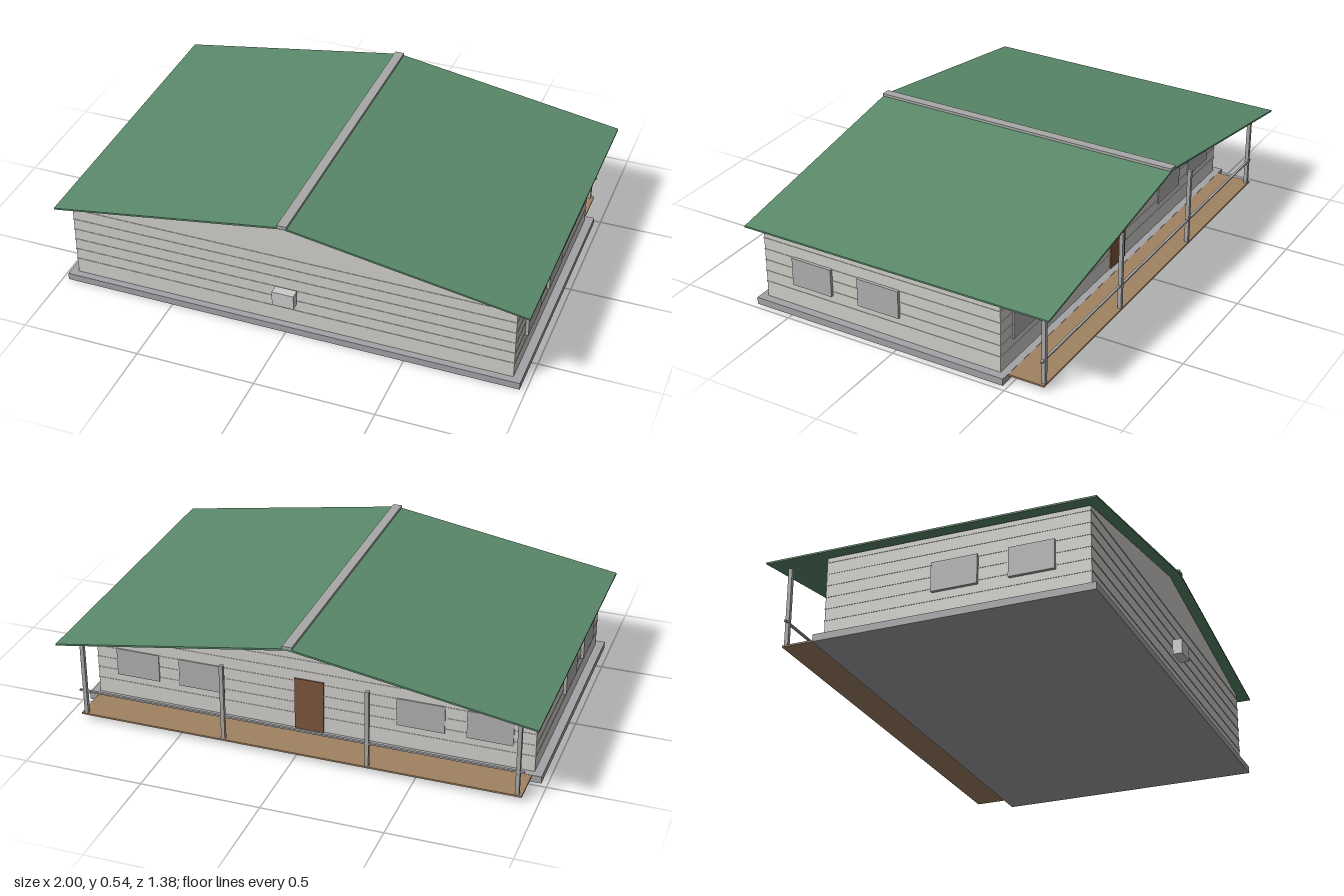
import * as THREE from 'three';

const mat = (color) => new THREE.MeshStandardMaterial({ color, flatShading: true });
const MATS = {
  wall: mat(0xd0cfca), slab: mat(0xa4a4a8), roof: mat(0x5a8a6a), trim: mat(0xa8a8a8),
  glass: mat(0xb0b0b0), door: mat(0x7d553c), deck: mat(0xa08262), unit: mat(0xcccccc),
};

export function createModel() {
  const house = new THREE.Group();
  house.name = 'house';

  const add = (name, geometry, material) => {
    const mesh = new THREE.Mesh(geometry, material);
    mesh.name = name;
    house.add(mesh);
    return mesh;
  };
  // Box given by its limits on each axis
  const box = (name, material, [x0, x1], [y0, y1], [z0, z1]) => {
    const m = add(name, new THREE.BoxGeometry(x1 - x0, y1 - y0, z1 - z0), material);
    m.position.set((x0 + x1) / 2, (y0 + y1) / 2, (z0 + z1) / 2);
    return m;
  };
  // Outline in x and y, extruded from z0 to z1
  const prism = (name, material, points, z0, z1) => {
    const shape = new THREE.Shape(points.map(([x, y]) => new THREE.Vector2(x, y)));
    const geo = new THREE.ExtrudeGeometry(shape, { depth: z1 - z0, bevelEnabled: false });
    geo.translate(0, 0, z0);
    return add(name, geo, material);
  };

  const W = 0.94, BACK = -0.45, FRONT = 0.64;

  // Foundation and gabled body
  box('foundation', MATS.slab, [-0.975, 0.975], [0, 0.03], [-0.48, 0.67]);
  prism('walls', MATS.wall,
    [[-W, 0.03], [W, 0.03], [W, 0.367], [0, 0.523], [-W, 0.367]], BACK, FRONT);

  // Horizontal siding laps around the body
  for (let i = 0; i < 6; i++) {
    const y = 0.096 + i * 0.05;
    box('sidingLap', MATS.wall, [-W - 0.002, W + 0.002], [y, y + 0.004], [BACK - 0.002, FRONT + 0.002]);
  }

  // Roof slopes and ridge cap
  for (const s of [-1, 1]) {
    const outline = [[0, 0.524], [s, 0.362], [s, 0.369], [0, 0.532]];
    prism('roofSlope', MATS.roof, s > 0 ? outline : outline.reverse(), -0.69, 0.685);
  }
  box('ridgeCap', MATS.trim, [-0.02, 0.02], [0.528, 0.54], [-0.69, 0.687]);

  // Side and back windows
  for (const s of [-1, 1]) {
    for (const span of [[0, 0.19], [0.315, 0.5]]) {
      const x = s > 0 ? [W, 0.953] : [-0.953, -W];
      box('sideWindow', MATS.glass, x, [0.13, 0.252], span);
    }
    for (const [a, b] of [[0.37, 0.57], [0.66, 0.85]]) {
      const x = s > 0 ? [a, b] : [-b, -a];
      box('backWindow', MATS.glass, x, [0.13, 0.252], [BACK - 0.005, BACK]);
    }
  }

  // Back door
  box('door', MATS.door, [-0.062, 0.062], [0.03, 0.262], [BACK - 0.006, BACK]);

  // Back porch: deck, posts and rail
  box('porchDeck', MATS.deck, [-0.935, 0.935], [0.022, 0.029], [-0.635, BACK]);
  for (const x of [-0.915, -0.305, 0.305, 0.915]) {
    box('porchPost', MATS.trim, [x - 0.008, x + 0.008], [0.029, 0.367], [-0.633, -0.617]);
  }
  box('porchRail', MATS.trim, [-0.94, 0.94], [0.129, 0.136], [-0.63, -0.62]);

  // Equipment box at the front
  box('coolingUnit', MATS.unit, [-0.046, 0.046], [0.147, 0.211], [0.654, 0.694]);

  return house;
}
